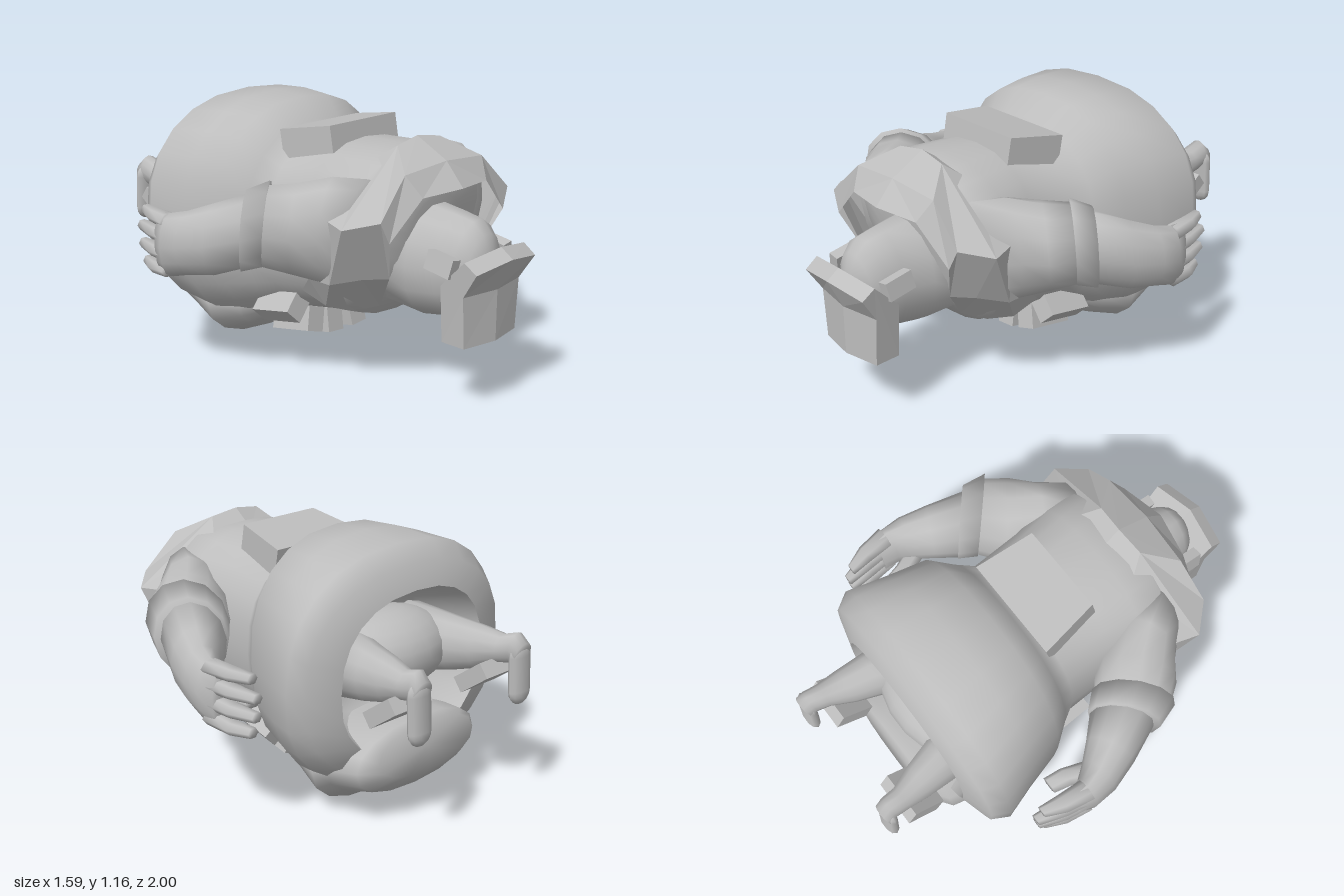
import * as THREE from 'three';

const grey = new THREE.MeshStandardMaterial({ color: 0xbdbdbd, side: THREE.DoubleSide });
grey.name = 'plain grey';

// Lofts oval rings running front to back.
// Ring: [centre x, z at top, z at bottom, half width, y top, y bottom, z shear along x]
function loft(rings, n, side = 1, power = 1, endCap = true) {
  const pos = [], idx = [];
  const bend = (v) => Math.sign(v) * Math.abs(v) ** power;
  for (const [x, zt, zb, w, yt, yb, shear = 0] of rings) {
    for (let j = 0; j < n; j++) {
      const a = (j / n) * Math.PI * 2;
      const c = bend(Math.cos(a)), s = bend(Math.sin(a));
      const t = (s + 1) / 2;
      pos.push(side * x + c * w, yb + (yt - yb) * t, zb + (zt - zb) * t + shear * side * c * w);
    }
  }
  const last = rings.length - 1;
  for (let i = 0; i < last; i++) {
    for (let j = 0; j < n; j++) {
      const a = i * n + j, b = i * n + (j + 1) % n;
      idx.push(a, a + n, b, b, a + n, b + n);
    }
  }
  // End caps
  for (const i of endCap ? [0, last] : [0]) {
    const [x, zt, zb, , yt, yb] = rings[i];
    const k = pos.length / 3;
    pos.push(side * x, (yt + yb) / 2, (zt + zb) / 2);
    for (let j = 0; j < n; j++) {
      const a = i * n + j, b = i * n + (j + 1) % n;
      if (i === 0) idx.push(k, a, b); else idx.push(k, b, a);
    }
  }
  const g = new THREE.BufferGeometry();
  g.setAttribute('position', new THREE.Float32BufferAttribute(pos, 3));
  g.setIndex(idx);
  g.computeVertexNormals();
  return g;
}

// Moves each vertex of a geometry by a rule
function warp(g, rule) {
  const p = g.attributes.position, v = new THREE.Vector3();
  for (let i = 0; i < p.count; i++) {
    rule(v.fromBufferAttribute(p, i));
    p.setXYZ(i, v.x, v.y, v.z);
  }
  g.computeVertexNormals();
  return g;
}

// Faceted shoulder cape: rows of points from the middle outward, mirrored
function capeGeometry() {
  const rows = [
    [[0, 0.9, 0.74], [0.2, 0.89, 0.7], [0.36, 0.73, 0.67], [0.28, 0.55, 0.6], [0.17, 0.37, 0.45]],
    [[0, 1.0, 0.65], [0.24, 0.98, 0.64], [0.4, 0.82, 0.66], [0.36, 0.55, 0.53], [0.26, 0.35, 0.38]],
    [[0, 1.08, 0.49], [0.13, 1.06, 0.5], [0.505, 0.79, 0.55], [0.44, 0.52, 0.42], [0.37, 0.39, 0.33]],
    [[0, 1.0, 0.38], [0.2, 0.98, 0.4], [0.47, 0.8, 0.43], [0.44, 0.52, 0.3], [0.38, 0.43, 0.2]],
  ];
  const pos = [];
  for (const s of [1, -1]) {
    const put = (...pts) => {
      for (const [x, y, z] of s > 0 ? pts : pts.reverse()) pos.push(s * x, y, z);
    };
    for (let i = 0; i < 3; i++) {
      for (let j = 0; j < 4; j++) {
        const a = rows[i][j], b = rows[i][j + 1], c = rows[i + 1][j], d = rows[i + 1][j + 1];
        put(a, b, c);
        put(b, d, c);
      }
    }
  }
  const g = new THREE.BufferGeometry();
  g.setAttribute('position', new THREE.Float32BufferAttribute(pos, 3));
  g.computeVertexNormals();
  return g;
}

export function createModel() {
  const model = new THREE.Group();
  const add = (name, geometry, parent = model) => {
    const m = new THREE.Mesh(geometry, grey);
    m.name = name;
    parent.add(m);
    return m;
  };

  // Torso and puffed skirt, open at the hem
  add('body', loft([
    [0, 0.62, 0.54, 0.16, 0.85, 0.45],
    [0, 0.62, 0.44, 0.33, 0.96, 0.37],
    [0, 0.5, 0.39, 0.41, 1.03, 0.3],
    [0, 0.36, 0.32, 0.4, 1.035, 0.285],
    [0, 0.2, 0.18, 0.37, 1.03, 0.26],
    [0, -0.03, -0.03, 0.37, 1.0, 0.22],
    [0, -0.1, -0.12, 0.42, 1.06, 0.19],
    [0, -0.19, -0.24, 0.5, 1.15, 0.14],
    [0, -0.36, -0.4, 0.545, 1.16, 0.1],
    [0, -0.55, -0.53, 0.6, 1.145, 0.14],
    [0, -0.62, -0.61, 0.56, 1.07, 0.2],
    [0, -0.655, -0.655, 0.41, 0.97, 0.28],
  ], 24, 1, 0.84, false));
  add('skirtLining', loft([
    [0, -0.4, -0.4, 0.35, 0.88, 0.38],
    [0, -0.655, -0.655, 0.41, 0.97, 0.28],
  ], 24, 1, 0.84, false));
  // Lower lobe of the skirt, reaching further back
  add('skirtLobe', loft([
    [0, -0.08, -0.08, 0.24, 0.36, 0.22],
    [0, -0.28, -0.28, 0.33, 0.38, 0.075],
    [0, -0.44, -0.44, 0.37, 0.4, 0],
    [0, -0.54, -0.54, 0.38, 0.42, 0.08],
    [0, -0.69, -0.68, 0.35, 0.43, 0.12],
    [0, -0.73, -0.76, 0.28, 0.42, 0.21],
  ], 16, 1, 0.9));
  add('shoulderCape', capeGeometry());

  // Head with ears and a bent face plate
  add('head', loft([
    [0, 0.9, 0.87, 0.06, 0.66, 0.5],
    [0, 0.87, 0.84, 0.11, 0.74, 0.42],
    [0, 0.82, 0.78, 0.14, 0.79, 0.38],
    [0, 0.73, 0.72, 0.155, 0.805, 0.355],
    [0, 0.6, 0.58, 0.18, 0.82, 0.33],
    [0, 0.45, 0.45, 0.24, 0.8, 0.36],
  ], 14));
  for (const s of [1, -1]) {
    const ear = add('ear', new THREE.BoxGeometry(0.05, 0.08, 0.13));
    ear.position.set(s * 0.17, 0.63, 0.78);
    ear.rotation.set(0.15, 0, s * 0.2);
  }
  const side = new THREE.Shape([[1, 0.66], [0.94, 0.7], [0.815, 0.545], [0.815, 0.3], [0.93, 0.3], [0.93, 0.52]]
    .map(([z, y]) => new THREE.Vector2(-z, y)));
  const plate = new THREE.ExtrudeGeometry(side, { depth: 0.36, steps: 2, bevelEnabled: false });
  plate.translate(0, 0, -0.18).rotateY(Math.PI / 2);
  add('facePlate', warp(plate, (v) => {
    const edge = Math.abs(v.x) / 0.18;
    v.x *= 0.92 + (v.y - 0.3) * 0.36;
    v.z -= 0.03 * edge;
    v.y -= v.y > 0.6 ? 0.03 * edge : 0;
  }));

  // Pack on the back
  const pack = add('backPack', warp(new THREE.BoxGeometry(0.44, 0.14, 0.27), (v) => {
    v.x *= 1 - v.z * 0.6;
  }));
  pack.position.set(0, 1.01, 0.065);
  pack.rotation.x = -0.18;

  // Belt pouches round the underside
  for (const s of [1, -1]) {
    for (const [x, y, turn] of [[0.07, 0.165, 0.08], [0.19, 0.195, 0.3], [0.295, 0.28, 0.8]]) {
      const pouch = add('beltPouch', new THREE.BoxGeometry(0.09, 0.11, 0.23));
      pouch.position.set(s * x, y, -0.025);
      pouch.rotation.set(-0.2, 0, s * turn);
    }
  }

  for (const s of [1, -1]) {
    // Arm: sleeve, cuff, forearm with hand, fingers
    const arm = new THREE.Group();
    arm.name = s > 0 ? 'leftArm' : 'rightArm';
    model.add(arm);
    add('sleeve', loft([
      [0.3, 0.5, 0.46, 0.14, 0.95, 0.48, 0.1],
      [0.37, 0.37, 0.33, 0.14, 0.95, 0.49, 0.5],
      [0.46, 0.26, 0.22, 0.14, 0.92, 0.53, 0.8],
      [0.54, 0.17, 0.14, 0.125, 0.91, 0.56, 0.85],
    ], 12, s), arm);
    add('cuff', loft([
      [0.54, 0.18, 0.14, 0.135, 0.93, 0.56, 0.87],
      [0.585, 0.09, 0.06, 0.12, 0.885, 0.53, 0.85],
    ], 12, s), arm);
    add('forearm', loft([
      [0.57, 0.1, 0.06, 0.11, 0.87, 0.54, 0.8],
      [0.65, -0.05, -0.05, 0.1, 0.81, 0.5, 0.5],
      [0.7, -0.15, -0.15, 0.09, 0.77, 0.49, 0.2],
      [0.725, -0.23, -0.23, 0.068, 0.75, 0.47],
      [0.72, -0.3, -0.29, 0.048, 0.74, 0.46],
    ], 12, s), arm);
    [[0.715, -0.45], [0.645, -0.48], [0.57, -0.475], [0.5, -0.45]].forEach(([y, z], i) => {
      const e = y - 0.015 * i / 3;
      add('finger', loft([
        [0.73, -0.24, -0.24, 0.05, y + 0.034, y - 0.034],
        [0.715, -0.36, -0.36, 0.043, e + 0.03, e - 0.03],
        [0.69, z, z, 0.026, e + 0.024, e - 0.024],
      ], 6, s), arm);
    });
    add('thumb', loft([
      [0.66, -0.12, -0.12, 0.05, 0.62, 0.52],
      [0.605, -0.25, -0.25, 0.045, 0.6, 0.51],
      [0.59, -0.33, -0.33, 0.04, 0.58, 0.52],
    ], 6, s), arm);

    // Leg with a drooping foot and a box strapped below
    const leg = new THREE.Group();
    leg.name = s > 0 ? 'leftLeg' : 'rightLeg';
    model.add(leg);
    add('shin', loft([
      [0.2, -0.42, -0.42, 0.15, 0.82, 0.5],
      [0.245, -0.66, -0.66, 0.1, 0.8, 0.56],
      [0.265, -0.78, -0.78, 0.08, 0.79, 0.6],
      [0.285, -0.88, -0.88, 0.055, 0.775, 0.65],
      [0.29, -0.95, -0.93, 0.05, 0.8, 0.66],
      [0.295, -0.99, -0.96, 0.05, 0.76, 0.66],
    ], 12, s), leg);
    const foot = add('foot', new THREE.CapsuleGeometry(0.06, 0.15, 4, 10), leg);
    foot.scale.z = 0.5;
    foot.position.set(s * 0.297, 0.625, -0.963);
    foot.rotation.x = 0.06;
    const box = add('legBox', new THREE.BoxGeometry(0.21, 0.07, 0.17), leg);
    box.position.set(s * 0.265, 0.595, -0.82);
    box.rotation.x = 0.65;
  }

  // Hips inside the skirt
  const hips = add('hips', new THREE.SphereGeometry(1, 18, 12));
  hips.scale.set(0.32, 0.18, 0.22);
  hips.position.set(0, 0.67, -0.48);
  return model;
}
